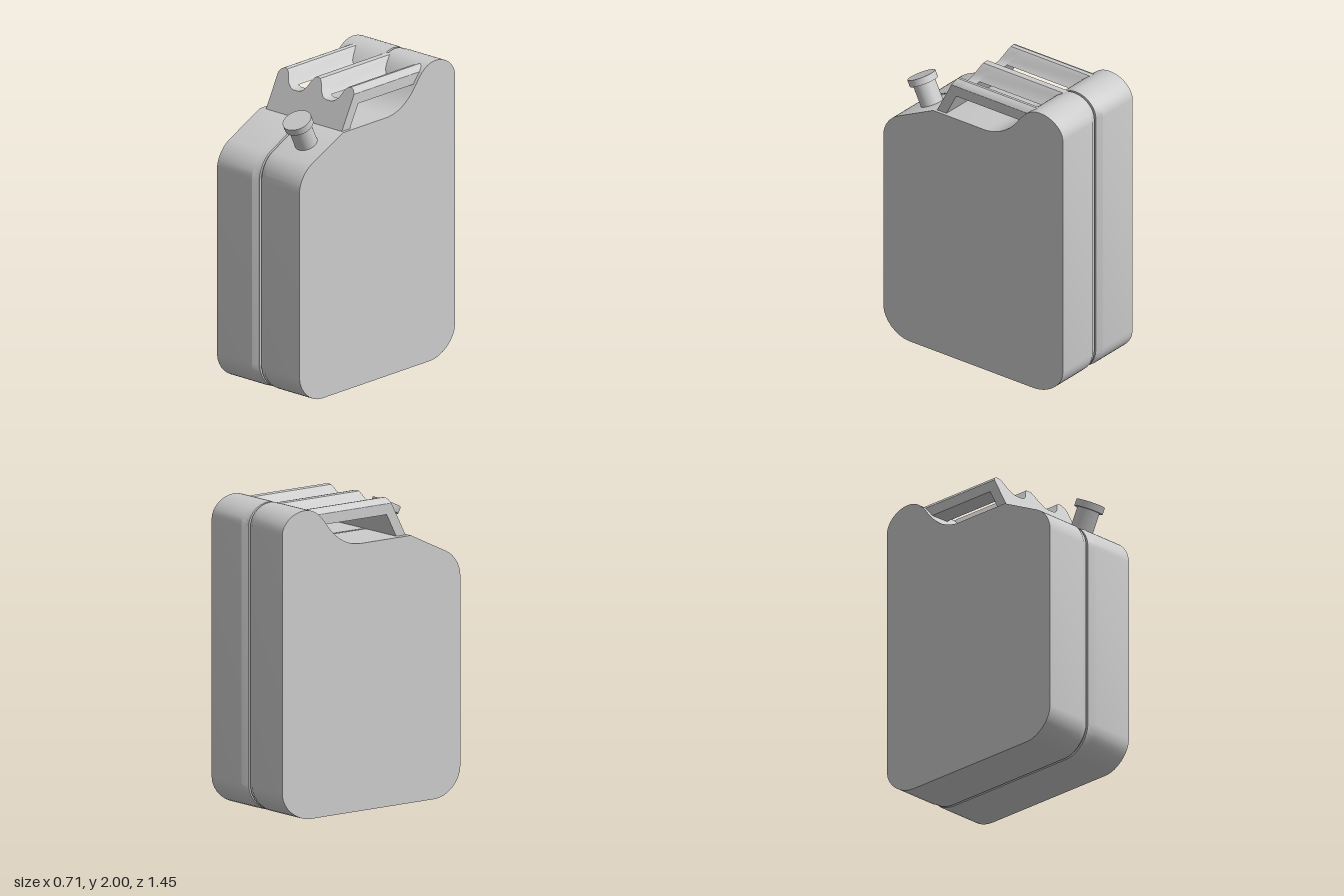
import * as THREE from 'three';
import { toCreasedNormals } from 'three/addons/utils/BufferGeometryUtils.js';

const material = new THREE.MeshStandardMaterial({ color: 0xcccccc });

function addMesh(parent, name, geometry, crease = 0.6) {
  const mesh = new THREE.Mesh(toCreasedNormals(geometry, crease), material);
  mesh.name = name;
  parent.add(mesh);
  return mesh;
}

// Side outline of the can, drawn as (z, y), counterclockwise
function bodyOutline() {
  const s = new THREE.Shape();
  s.moveTo(-0.49, 0);
  s.lineTo(0.52, 0);
  s.bezierCurveTo(0.62, 0, 0.727, 0.09, 0.727, 0.19);
  s.lineTo(0.727, 1.42);
  s.bezierCurveTo(0.727, 1.49, 0.68, 1.56, 0.61, 1.594);
  s.lineTo(0.325, 1.73);
  s.lineTo(-0.1, 1.73);
  s.bezierCurveTo(-0.23, 1.74, -0.31, 1.82, -0.36, 1.885);
  s.bezierCurveTo(-0.41, 1.955, -0.46, 2, -0.54, 2);
  s.bezierCurveTo(-0.64, 2, -0.722, 1.93, -0.722, 1.86);
  s.lineTo(-0.722, 0.19);
  s.bezierCurveTo(-0.722, 0.09, -0.6, 0, -0.49, 0);
  const pts = s.getPoints(8);
  return pts.filter((p, i) => p.distanceTo(pts[(i + 1) % pts.length]) > 1e-5);
}

// Body lofted across x: a wide groove on the upright walls, a narrow seam all round
function bodyGeometry() {
  const outline = bodyOutline();
  const n = outline.length;
  const normals = outline.map((p, i) => {
    const a = outline[(i + n - 1) % n], b = outline[(i + 1) % n];
    const t1 = p.clone().sub(a).normalize(), t2 = b.clone().sub(p).normalize();
    const t = t1.add(t2).normalize();
    return new THREE.Vector2(t.y, -t.x);
  });
  // [x, groove depth, seam depth]
  const half = [[0.357, 0, 0], [0.055, 0, 0], [0.018, 0.022, 0], [0.008, 0.022, 0], [0.007, 0.022, 0.014]];
  const sections = [...half.map(([x, g, s]) => [-x, g, s]), ...half.slice().reverse()];
  const rings = sections.map(([x, groove, seam]) => outline.map((p, i) => {
    const m = normals[i];
    const d = groove * m.x * m.x + seam;
    return [x, p.y - m.y * d, p.x - m.x * d];
  }));
  const pos = [];
  for (let r = 0; r < rings.length - 1; r++) {
    for (let i = 0; i < n; i++) {
      const j = (i + 1) % n;
      const a = rings[r][i], b = rings[r + 1][i], c = rings[r][j], d = rings[r + 1][j];
      pos.push(...a, ...b, ...c, ...b, ...d, ...c);
    }
  }
  // Flat side walls
  const first = rings[0], last = rings[rings.length - 1];
  for (const [a, b, c] of THREE.ShapeUtils.triangulateShape(outline, [])) {
    pos.push(...first[a], ...first[b], ...first[c]);
    pos.push(...last[a], ...last[c], ...last[b]);
  }
  const g = new THREE.BufferGeometry();
  g.setAttribute('position', new THREE.Float32BufferAttribute(pos, 3));
  return g;
}

// Extrude an (x, y) outline between two z limits, each a function of y
function extrudeBetween(points, back, front) {
  const shape = new THREE.Shape(points.map(([x, y]) => new THREE.Vector2(x, y)));
  const g = new THREE.ExtrudeGeometry(shape, { depth: 1, bevelEnabled: false });
  const p = g.attributes.position;
  for (let i = 0; i < p.count; i++) {
    const y = p.getY(i);
    p.setZ(i, p.getZ(i) > 0.5 ? front(y) : back(y));
  }
  return g;
}

function createHandle() {
  const handle = new THREE.Group();
  handle.name = 'handle';
  handle.position.x = 0.0075;
  const mirror = (pts) => pts.map(([x, y]) => [-x, y]).reverse();
  const plateFront = (y) => 0.31 - (y - 1.73) * 0.52;
  const plateBack = (y) => plateFront(y) - 0.075;

  // Crests of the corrugated top edge, running from right to left in x
  const outer = [[0.328, 1.88], [0.328, 1.95], [0.312, 1.973], [0.287, 1.985], [0.262, 1.98],
    [0.243, 1.96], [0.218, 1.91], [0.19, 1.885]];
  const innerHalf = [[0.092, 1.885], [0.063, 1.915], [0.04, 1.96], [0.022, 1.982]];
  const inner = [...innerHalf, [0, 1.986], ...mirror(innerHalf)];
  const valley = [[0.165, 1.877], [0.117, 1.877]];

  // Sloping front plate
  const plate = [[-0.328, 1.72], [0.328, 1.72], ...outer.slice(1), ...valley, ...inner,
    ...mirror(valley), ...mirror(outer.slice(1))];
  addMesh(handle, 'handlePlate', extrudeBetween(plate, plateBack, plateFront));

  // Three bars running back into the hump of the body
  const rearEnd = () => -0.485;
  const bars = { leftBar: outer, middleBar: inner, rightBar: mirror(outer) };
  for (const [name, section] of Object.entries(bars)) {
    addMesh(handle, name, extrudeBetween(section, rearEnd, plateBack));
  }
  return handle;
}

// Neck and cap standing square to the sloping shoulder
function createSpout() {
  const spout = new THREE.Group();
  spout.name = 'spout';
  spout.position.set(0.18, 1.66, 0.475);
  spout.rotation.x = 0.46;
  const neck = addMesh(spout, 'neck', new THREE.CylinderGeometry(0.074, 0.074, 0.2, 32));
  neck.position.y = 0.06;
  const cap = addMesh(spout, 'cap', new THREE.CylinderGeometry(0.095, 0.095, 0.046, 32));
  cap.position.y = 0.169;
  return spout;
}

export function createModel() {
  const model = new THREE.Group();
  model.name = 'fuelCan';
  addMesh(model, 'body', bodyGeometry(), 0.5);
  model.add(createHandle(), createSpout());
  return model;
}
